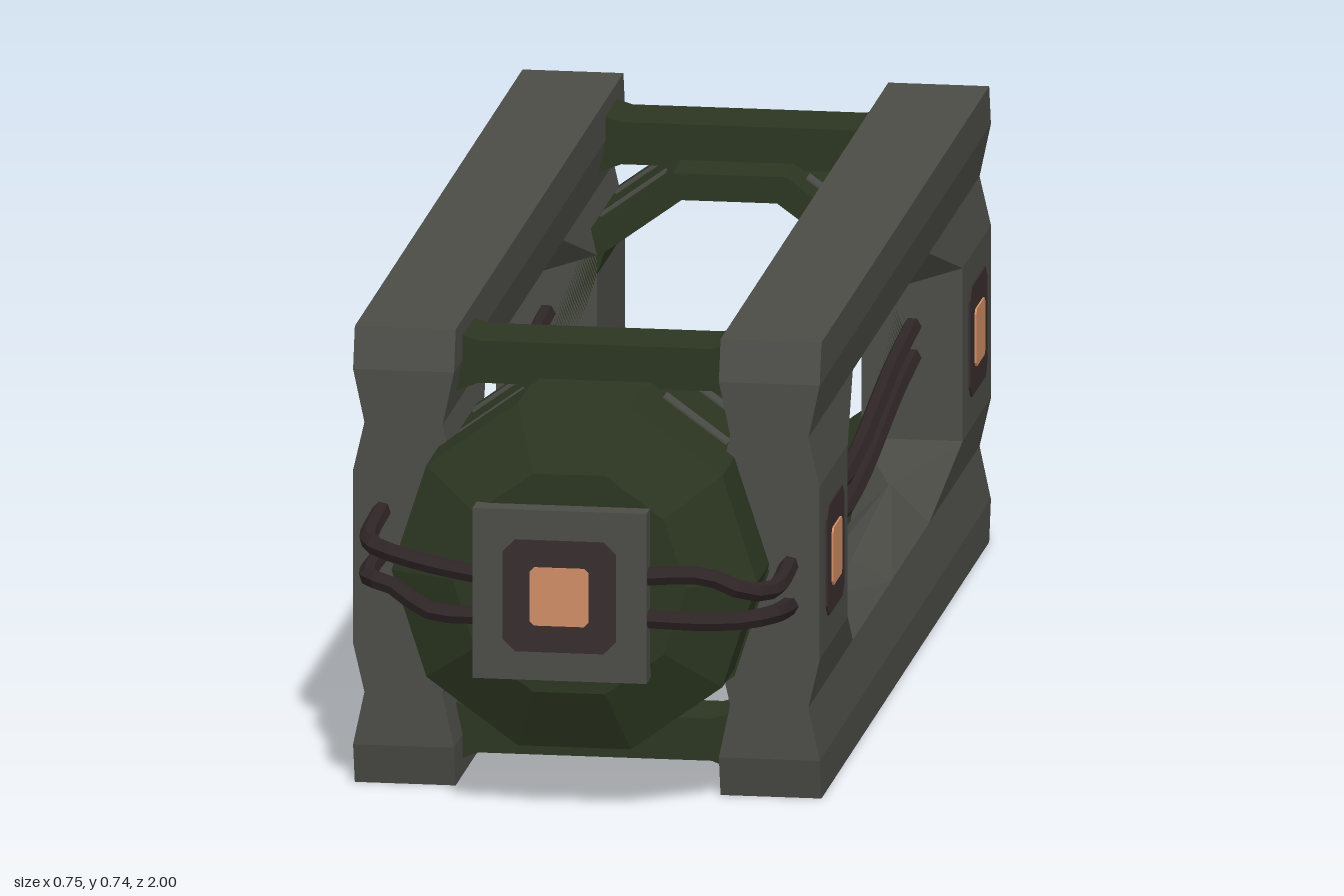
import * as THREE from 'three';

const mat = (name, color) => {
  const m = new THREE.MeshStandardMaterial({ color });
  m.name = name;
  return m;
};
const MID = 0.3675; // height of the model's long axis

// split the faces so every facet shades flat
function flat(geo) {
  const g = geo.index ? geo.toNonIndexed() : geo;
  g.computeVertexNormals();
  return g;
}

// ten-sided turned part along z, with a flat side up
function decagon(profile) {
  const pts = profile.map(([r, z]) => new THREE.Vector2(r, z));
  const g = new THREE.LatheGeometry(pts, 10, Math.PI / 10);
  g.rotateX(Math.PI / 2);
  return flat(g);
}

// long beam of a rail, pinched in section, with a keel over the window
function beamGeometry() {
  // z, half width of lower edge, height of lower edge, z inset of the top
  const stations = [
    [0.78, 0.08, 0.1395, -0.018], [0.49, 0.08, 0.1395, 0], [0.32, 0.002, 0.156, 0],
    [-0.08, 0.002, 0.186, 0], [-0.47, 0.002, 0.158, 0], [-0.70, 0.08, 0.1395, 0],
    [-0.993, 0.08, 0.1395, 0.018],
  ];
  const rings = stations.map(([z, w, y, inset]) => {
    const half = [[0.08, 0.3675, z + inset], [0.08, 0.3025, z], [0.062, 0.2175, z], [w, y, z]];
    const other = half.map(([a, b, c]) => [-a, b, c]).reverse();
    return [...half, ...other];
  });
  const pos = [];
  const tri = (...corners) => corners.forEach((c) => pos.push(...c));
  for (let j = 0; j < rings.length - 1; j++) {
    for (let i = 0; i < 8; i++) {
      const k = (i + 1) % 8;
      const a = rings[j][i], b = rings[j][k], c = rings[j + 1][k], d = rings[j + 1][i];
      if ((j < 3) === (i < 4)) { tri(a, b, d); tri(b, c, d); }
      else { tri(a, b, c); tri(a, c, d); }
    }
  }
  // end caps
  const f = rings[0], r = rings[rings.length - 1];
  for (let i = 0; i < 3; i++) {
    tri(f[i], f[7 - i], f[6 - i]); tri(f[i], f[6 - i], f[i + 1]);
    tri(r[i], r[6 - i], r[7 - i]); tri(r[i], r[i + 1], r[6 - i]);
  }
  const g = new THREE.BufferGeometry();
  g.setAttribute('position', new THREE.Float32BufferAttribute(pos, 3));
  g.computeVertexNormals();
  return g;
}

// thin square plate with cut corners, facing +z
function plateGeometry(size, cut, depth) {
  const h = size / 2, c = h - cut;
  const s = new THREE.Shape([[c, -h], [h, -c], [h, c], [c, h], [-c, h], [-h, c], [-h, -c], [-c, -h]]
    .map(([x, y]) => new THREE.Vector2(x, y)));
  return new THREE.ExtrudeGeometry(s, { depth, bevelEnabled: false });
}

export function createModel() {
  const root = new THREE.Group();
  root.name = 'twinRailFrame';
  const grey = mat('grey metal', 0x4c4c47);
  const green = mat('dark green', 0x2c3621);
  const brown = mat('dark brown', 0x382d2e);
  const cableMat = mat('cable brown', 0x2f2527);
  const orange = mat('orange light', 0xcf8c64);

  const add = (parent, name, geo, material, x = 0, y = 0, z = 0) => {
    const m = new THREE.Mesh(geo, material);
    m.name = name;
    m.position.set(x, y, z);
    parent.add(m);
    return m;
  };
  const box = (parent, name, material, w, h, d, x, y, z) =>
    add(parent, name, new THREE.BoxGeometry(w, h, d), material, x, y, z);
  const cable = (name, pts, segments) => {
    const curve = new THREE.CatmullRomCurve3(pts.map((p) => new THREE.Vector3(...p)), false, 'centripetal');
    add(root, name, flat(new THREE.TubeGeometry(curve, segments, 0.015, 6)), cableMat);
  };
  const lamp = (name, size) => {
    const g = new THREE.Group();
    g.name = name;
    add(g, 'lampSurround', plateGeometry(size, size * 0.11, 0.003), brown);
    add(g, 'lampLight', plateGeometry(size * 0.52, size * 0.04, 0.003), orange, 0, 0, 0.003);
    root.add(g);
    return g;
  };

  // rails: an upper and a lower beam joined by two end blocks
  const beam = beamGeometry();
  for (const side of [1, -1]) {
    const rail = new THREE.Group();
    rail.name = side > 0 ? 'leftRail' : 'rightRail';
    rail.position.set(side * 0.29, MID, 0);
    add(rail, 'upperBeam', beam, grey);
    add(rail, 'lowerBeam', beam, grey).rotation.z = Math.PI;
    box(rail, 'frontBlock', grey, 0.16, 0.279, 0.29, 0, 0, 0.635);
    box(rail, 'rearBlock', grey, 0.16, 0.279, 0.293, 0, 0, -0.8465);
    root.add(rail);

    // lamps on the outer faces
    for (const z of [0.63, -0.85]) {
      const l = lamp('sideLamp', 0.178);
      l.position.set(side * 0.37, 0.369, z);
      l.rotation.y = side * Math.PI / 2;
    }

    // sagging cables through the window
    const x = side * 0.29;
    cable('upperSideCable', [[x, 0.402, 0.53], [x, 0.39, 0.32], [x, 0.338, 0.05], [x, 0.342, -0.12],
      [x, 0.395, -0.5], [x, 0.413, -0.74]], 14);
    cable('lowerSideCable', [[x, 0.352, 0.53], [x, 0.335, 0.3], [x, 0.287, 0.05], [x, 0.29, -0.14],
      [x, 0.345, -0.52], [x, 0.363, -0.74]], 14);
  }

  // crossbar outline, flared where it meets the rails
  const barShape = new THREE.Shape([[-0.225, -0.05], [-0.185, -0.034], [0.185, -0.034], [0.225, -0.05],
    [0.225, 0.046], [0.185, 0.034], [-0.185, 0.034], [-0.225, 0.046]].map(([x, y]) => new THREE.Vector2(x, y)));
  const barGeo = new THREE.ExtrudeGeometry(barShape, { depth: 0.12, bevelEnabled: false });

  // ten-sided rings with crossbars above and below
  for (const [name, z0, z1, zBar] of [['front', 0.48, 0.782, 0.57], ['rear', -1, -0.70, -0.91]]) {
    add(root, name + 'Ring', decagon([[0.245, z0], [0.29, z0], [0.29, z1], [0.245, z1], [0.245, z0]]),
      green, 0, MID, 0);
    add(root, name + 'UpperBar', barGeo, green, 0, 0.667, zBar);
    add(root, name + 'LowerBar', barGeo, green, 0, 0.071, zBar);
    // grey strips on the sloping facets beside the bars
    for (const angle of [36, 144, 216, 324]) {
      const a = THREE.MathUtils.degToRad(angle);
      for (const z of [zBar - 0.02, zBar + 0.135]) {
        box(root, name + 'RingStrip', grey, 0.124, 0.006, 0.032,
          Math.sin(a) * 0.276, MID + Math.cos(a) * 0.276, z).rotation.z = -a;
      }
    }
  }

  // hollow nose cap
  add(root, 'noseCap', decagon([[0, 0.93], [0.17, 0.93], [0.25, 0.89], [0.25, 0.775], [0.29, 0.775],
    [0.29, 0.905], [0.185, 0.957], [0, 0.957]]), green, 0, 0.379, 0);
  box(root, 'nosePlate', grey, 0.276, 0.274, 0.045, -0.01, 0.368, 0.9715);
  lamp('noseLamp', 0.18).position.set(-0.01, 0.367, 0.994);

  // short cables from the nose plate round to the rails
  const loops = [
    ['leftUpper', [[0.10, 0.398, 0.975], [0.22, 0.403, 0.975], [0.28, 0.38, 0.968], [0.315, 0.375, 0.935], [0.322, 0.38, 0.76]]],
    ['leftLower', [[0.10, 0.332, 0.975], [0.22, 0.33, 0.975], [0.28, 0.333, 0.968], [0.315, 0.335, 0.935], [0.322, 0.31, 0.76]]],
    ['rightUpper', [[-0.12, 0.39, 0.975], [-0.22, 0.408, 0.975], [-0.29, 0.425, 0.968], [-0.32, 0.43, 0.935], [-0.325, 0.445, 0.76]]],
    ['rightLower', [[-0.12, 0.328, 0.975], [-0.22, 0.333, 0.975], [-0.28, 0.37, 0.968], [-0.32, 0.372, 0.935], [-0.325, 0.375, 0.76]]],
  ];
  for (const [name, pts] of loops) cable(name + 'NoseCable', pts, 12);

  return root;
}
